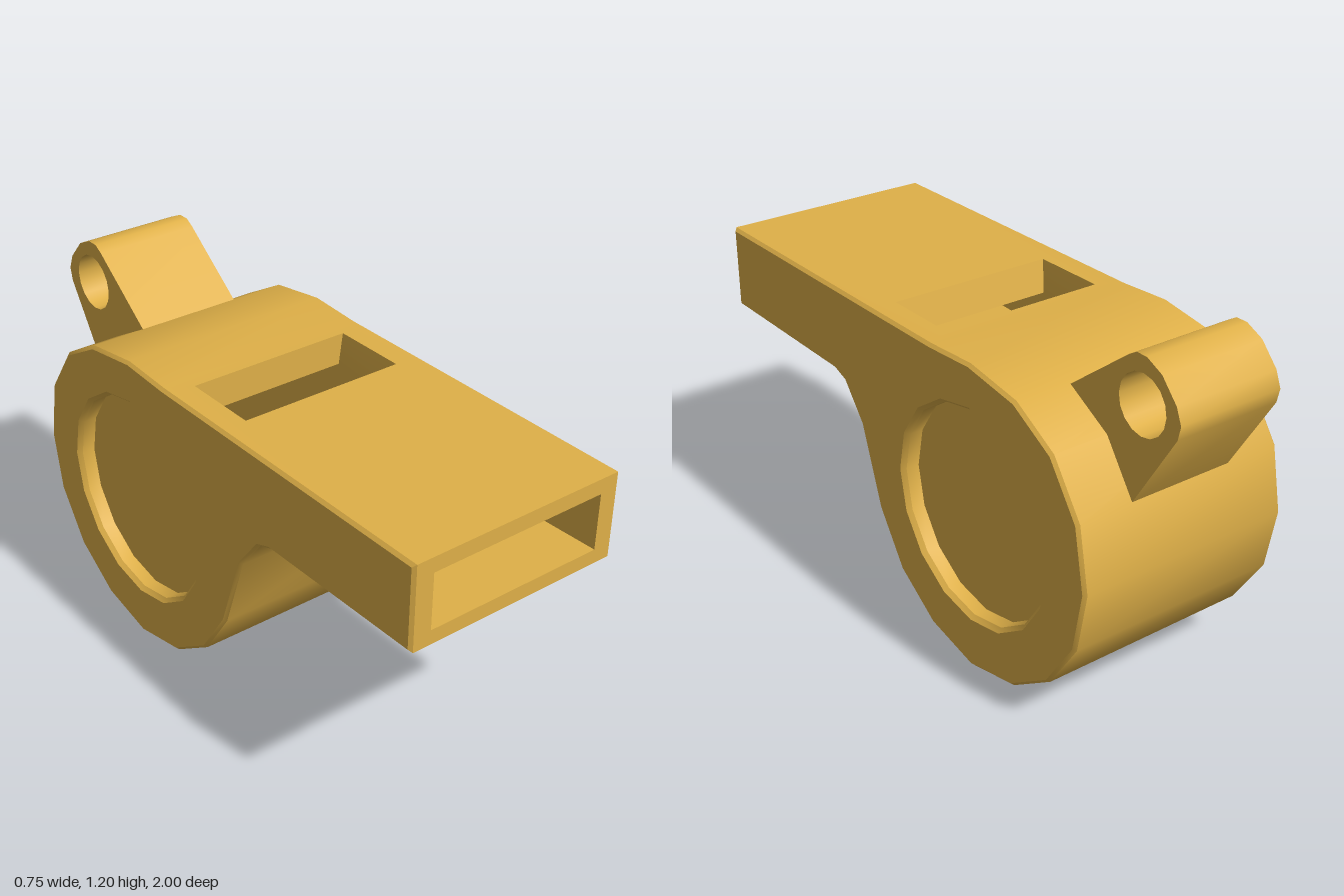
import * as THREE from 'three';
import { mergeGeometries, toCreasedNormals } from 'three/addons/utils/BufferGeometryUtils.js';

const HALF = 0.375;            // half width of the body
const BEVEL = 0.01;            // small bevel along the side edges
const CZ = -0.34, CY = 0.535;  // centre of the round chamber, in z and y
const V = (a, b) => new THREE.Vector2(a, b);

// Points on a circle in the [z, y] plane, angles in steps of 1/16 turn
function arc(cz, cy, r, from, to) {
  const pts = [], step = Math.sign(to - from);
  for (let i = from; i !== to + step; i += step) {
    const a = (i * Math.PI) / 8;
    pts.push([cz + r * Math.cos(a), cy + r * Math.sin(a)]);
  }
  return pts;
}

function fromTriangles(pos) {
  const g = new THREE.BufferGeometry();
  g.setAttribute('position', new THREE.Float32BufferAttribute(pos, 3));
  return g;
}

// Band across x following a [z, y] path, with half width w(z, y)
function band(path, w) {
  const pos = [];
  for (let i = 0; i + 1 < path.length; i++) {
    const [z0, y0] = path[i], [z1, y1] = path[i + 1];
    const w0 = w(z0, y0), w1 = w(z1, y1);
    pos.push(-w0, y0, z0, w0, y0, z0, w1, y1, z1);
    pos.push(-w0, y0, z0, w1, y1, z1, -w1, y1, z1);
  }
  return fromTriangles(pos);
}

// Closed outline moved inwards by d
function inset(path, d) {
  const n = path.length;
  const normal = (i) => {
    const [z0, y0] = path[i % n], [z1, y1] = path[(i + 1) % n];
    return V(y0 - y1, z1 - z0).normalize();
  };
  return path.map(([z, y], i) => {
    const a = normal(i + n - 1), b = normal(i), k = d / (1 + a.dot(b));
    return [z + k * (a.x + b.x), y + k * (a.y + b.y)];
  });
}

// Bevel between the outline and its inset, on the +x (s = 1) or -x (s = -1) side
function bevel(outer, inner, s) {
  const pos = [], n = outer.length;
  const at = (p, x) => [s * x, p[1], p[0]];
  for (let i = 0; i < n; i++) {
    const j = (i + 1) % n;
    const a = at(outer[i], HALF - BEVEL), c = at(outer[j], HALF - BEVEL);
    const b = at(inner[i], HALF), d = at(inner[j], HALF);
    const quad = s > 0 ? [a, b, c, c, b, d] : [a, c, b, c, d, b];
    pos.push(...quad.flat());
  }
  return fromTriangles(pos);
}

// Flat face seen from the +x (facing 1) or -x (facing -1) side
function sideFace(path, facing, xAt, hole) {
  const to2 = ([z, y]) => V(-facing * z, y);
  const shape = new THREE.Shape(path.map(to2));
  if (hole) shape.holes.push(new THREE.Path(hole.map(to2)));
  const g = new THREE.ShapeGeometry(shape).rotateY((facing * Math.PI) / 2);
  const p = g.attributes.position;
  for (let i = 0; i < p.count; i++) p.setX(i, xAt(p.getZ(i), p.getY(i)));
  return g;
}

// Rectangle in the xy plane with a rectangular hole
function frame(w, v0, v1, hw, h0, h1) {
  const rect = (a, b, c) => [V(-a, b), V(a, b), V(a, c), V(-a, c)];
  const shape = new THREE.Shape(rect(w, v0, v1));
  shape.holes.push(new THREE.Path(rect(hw, h0, h1)));
  return new THREE.ShapeGeometry(shape);
}

// Join pieces and smooth the gentle bends only
function join(list) {
  const plain = list.map((g) => {
    const n = g.index ? g.toNonIndexed() : g;
    n.deleteAttribute('uv');
    n.deleteAttribute('normal');
    return n;
  });
  return toCreasedNormals(mergeGeometries(plain), 0.6);
}

export function createModel() {
  const model = new THREE.Group();
  const brass = new THREE.MeshStandardMaterial({ color: 0xdfb048 });
  brass.name = 'golden yellow';
  const add = (name, geometry) => {
    const mesh = new THREE.Mesh(geometry, brass);
    mesh.name = name;
    model.add(mesh);
  };

  // Outer outline: from the top, round the back, to the mouthpiece underside
  const outline = [
    [-0.15, 1.025], [-0.34, 1.035], [-0.55, 1.003], [-0.715, 0.91], [-0.83, 0.745],
    [-0.868, 0.538], [-0.83, 0.335], [-0.715, 0.16], [-0.545, 0.045], [-0.34, 0],
    [-0.135, 0.045], [0.035, 0.16], [0.15, 0.335], [0.24, 0.6], [0.33, 0.715],
    [0.385, 0.735], [1, 0.743],
  ];
  const flat = HALF - BEVEL;
  const closed = [...outline, [1, 1.025]];
  const sideOutline = inset(closed, BEVEL);
  const recessRim = arc(CZ, CY, 0.363, 0, 15);
  const top = frame(flat, -1, 0.15, 0.285, -0.155, 0.105)
    .rotateX(-Math.PI / 2).translate(0, 1.025, 0);
  const front = frame(flat, 0.743, 1.025, 0.305, 0.79, 0.975).translate(0, 0, 1);
  const sides = [1, -1].flatMap((s) => [
    sideFace(sideOutline, s, () => s * HALF, recessRim),
    bevel(closed, sideOutline, s),
  ]);
  add('body', join([band(outline, () => flat), top, front, ...sides]));

  // Hollow inside: air channel floor, round chamber, slot and channel ceiling
  const lower = [
    [1, 0.79], [0.14, 0.79], [0.13, 0.62], [0.06, 0.36],
    ...arc(CZ, CY, 0.43, -2, -13), [-0.105, 0.92], [-0.105, 1.025],
  ];
  const upper = [[0.155, 1.025], [0.13, 0.92], [1, 0.975]];
  const inner = (z, y) => (y > 1 ? 0.285 : 0.27 + 0.035 * Math.max(0, (z - 0.14) / 0.86));
  const walls = [1, -1].map((s) =>
    sideFace([...lower, ...upper], -s, (z, y) => s * inner(z, y)));
  add('airChamber', join([band(lower, inner), band(upper, inner), ...walls]));

  // Round recess in each side, with a bevelled rim
  for (const s of [1, -1]) {
    const dish = new THREE.LatheGeometry(
      [V(0.363, HALF), V(0.35, 0.36), V(0.35, 0.315), V(0, 0.315)], 16);
    dish.rotateZ((-s * Math.PI) / 2).translate(0, CY, CZ);
    add(s > 0 ? 'leftRecess' : 'rightRecess', join([dish]));
  }

  // Lanyard loop at the back
  const loop = [
    [-0.55, 0.997], [-0.79, 1.182], [-0.82, 1.2], [-0.86, 1.2], [-0.92, 1.172],
    [-0.98, 1.105], [-1, 1.055], [-0.99, 1.01], [-0.825, 0.745], [-0.7, 0.89],
  ];
  const shape = new THREE.Shape(loop.map(([z, y]) => V(-z, y)));
  shape.holes.push(new THREE.Path(arc(-0.85, 1.056, 0.094, 15, 0).map(([z, y]) => V(-z, y))));
  const tab = new THREE.ExtrudeGeometry(shape, { depth: 0.36, bevelEnabled: false })
    .translate(0, 0, -0.18).rotateY(Math.PI / 2);
  add('lanyardLoop', join([tab]));

  return model;
}
